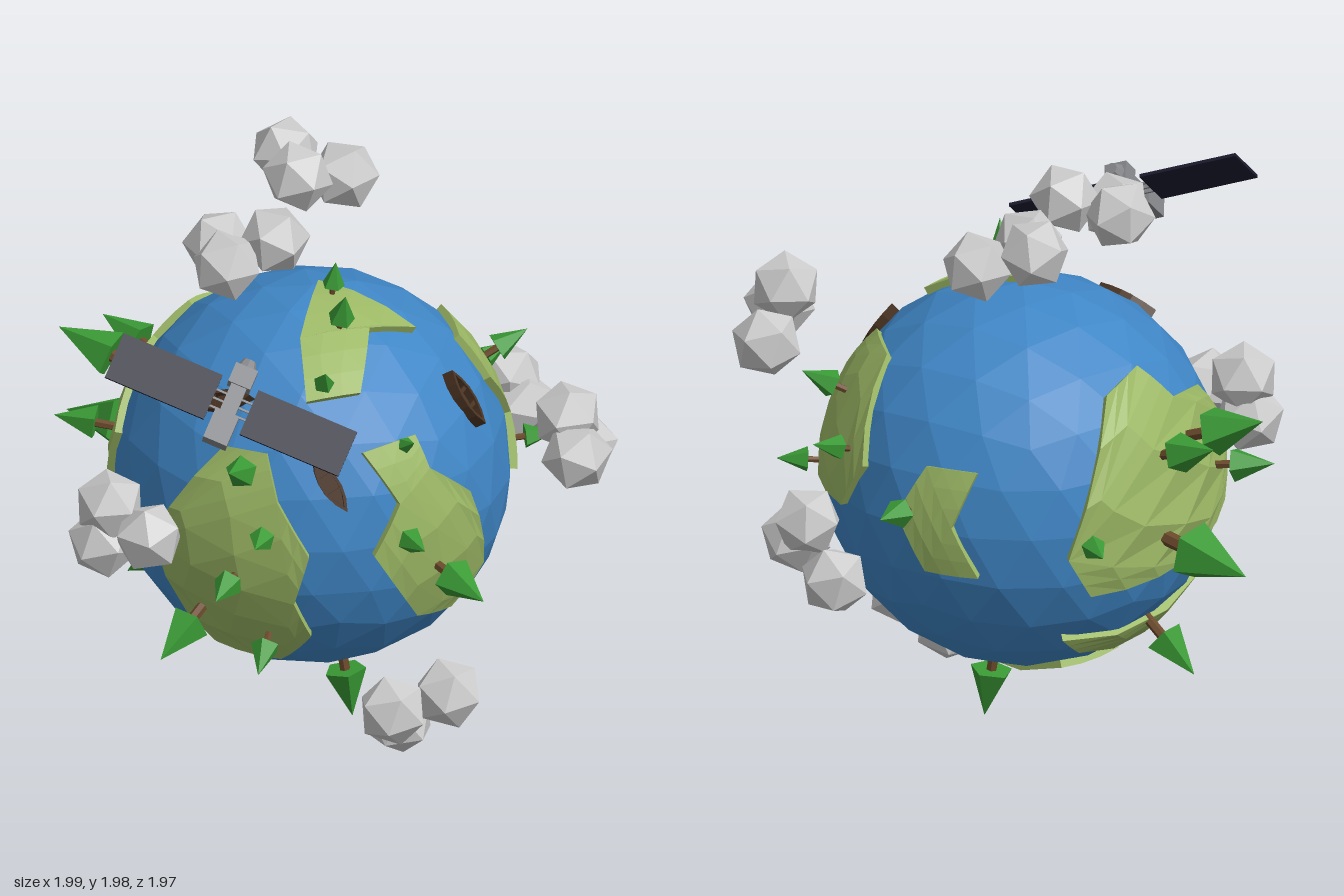
import * as THREE from 'three';

const V = (x, y, z) => new THREE.Vector3(x, y, z);
const mat = color => new THREE.MeshStandardMaterial({ color, flatShading: true });
const MAT = {
  ocean: mat(0x3f86c6), land: mat(0x9cb865), leaf: mat(0x3a9a35), trunk: mat(0x6b4a2b),
  cloud: mat(0xcccccc), boat: mat(0x4a3322), panel: mat(0x1a1a2e), body: mat(0x85878a),
};
const CENTRE = V(0, 0.93, -0.045), R = 0.67, LAND = 0.688;

function part(name, geo, material, parent) {
  const m = new THREE.Mesh(geo, material);
  m.name = name;
  parent.add(m);
  return m;
}

// Direction on the globe for plane coordinates (u, v) facing azimuth / elevation in degrees
function onGlobe(az, el, u, v) {
  const a = THREE.MathUtils.degToRad(az), e = THREE.MathUtils.degToRad(el);
  const t = Math.sqrt(Math.max(0, 0.686 ** 2 - u * u - v * v));
  const depth = t * Math.cos(e) - v * Math.sin(e);
  return V(depth * Math.sin(a) + u * Math.cos(a), v * Math.cos(e) + t * Math.sin(e),
    depth * Math.cos(a) - u * Math.sin(a));
}

// Land slab: outline wrapped over the globe with walls down into the ocean
function landGeometry(az, el, outline) {
  const flat = outline.map(([x, y]) => new THREE.Vector2(x, y));
  if (THREE.ShapeUtils.isClockWise(flat)) flat.reverse();
  const dirs = flat.map(p => onGlobe(az, el, p.x, p.y));
  const pos = [], N = 3;
  const tri = (...pts) => pts.forEach(p => pos.push(p.x, p.y, p.z));
  const lift = (p, r) => p.clone().setLength(r);
  const face = (a, b, c) => {
    const n = b.clone().sub(a).cross(c.clone().sub(a));
    if (n.dot(a) < 0) tri(a, c, b); else tri(a, b, c);
  };
  for (const [i, j, k] of THREE.ShapeUtils.triangulateShape(flat, [])) {
    const at = (p, q) => lift(dirs[i].clone().multiplyScalar((N - p - q) / N)
      .addScaledVector(dirs[j], p / N).addScaledVector(dirs[k], q / N), LAND);
    for (let p = 0; p < N; p++) for (let q = 0; q < N - p; q++) {
      face(at(p, q), at(p + 1, q), at(p, q + 1));
      if (p + q < N - 1) face(at(p + 1, q), at(p + 1, q + 1), at(p, q + 1));
    }
  }
  dirs.forEach((d, i) => {
    const e = dirs[(i + 1) % dirs.length];
    for (let s = 0; s < N; s++) {
      const a = d.clone().lerp(e, s / N), b = d.clone().lerp(e, (s + 1) / N);
      tri(lift(a, 0.645), lift(b, 0.645), lift(b, LAND));
      tri(lift(a, 0.645), lift(b, LAND), lift(a, LAND));
    }
  });
  const g = new THREE.BufferGeometry();
  g.setAttribute('position', new THREE.Float32BufferAttribute(pos, 3));
  g.computeVertexNormals();
  return g;
}

// Land masses: azimuth, elevation, outline
const LANDS = [
  [0, 0, [[-.11, .33], [.09, .35], [.12, .24], [.28, .11], [.37, -.21], [.25, -.35], [.09, -.32], [-.11, -.02], [-.01, .15]]],
  [0, 0, [[-.5, .33], [-.4, .33], [-.4, .18], [-.32, -.01], [-.35, -.2], [-.27, -.35], [-.3, -.5], [-.46, -.47], [-.67, -.05]]],
  [90, 0, [[-.215, .48], [.015, .48], [.185, .16], [.085, -.01], [-.325, -.01], [-.235, .16], [-.295, .34]]],
  [145, -25, [[-.27, .31], [-.17, .47], [.01, .48], [-.07, .32], [.02, .155], [-.17, .147]]],
  [215, 25, [[-.21, .19], [-.03, .235], [.05, .09], [.24, .08], [.39, -.08], [.31, -.33], [0, -.45], [-.37, -.43], [-.46, -.28]]],
  [215, 25, [[-.36, -.55], [.25, -.54], [.24, -.62], [-.25, -.62]]],
  [145, -25, [[-.3, -.58], [.2, -.44], [.35, -.5], [.28, -.6], [.05, -.66]]],
  [0, 90, [[.02, -.005], [.25, -.275], [.07, -.285], [-.06, -.475], [-.24, -.43], [-.17, -.245]]],
];

// Tree tips; each tree grows straight out of the globe
const TREES = [
  [.1, .01, .055], [.19, .77, .85], [0, .975, .79], [.04, 1.3, .63],
  [.03, 1.73, .07], [-.035, 1.705, .27], [-.2, 1.53, .445],
  [.74, 1.33, .09], [.79, 1.16, -.15], [.79, .98, .2], [.695, 1.02, -.54],
  [-.45, .82, -.98], [-.6, 1.27, -.74], [-.39, 1.23, -.83], [-.705, 1.04, -.57], [.02, .91, -.87], [-.39, .35, -.645],
  [-.59, 1.27, .5], [-.535, 1.01, .585], [-.64, .8, .5], [-.76, .535, .33], [-.48, .49, .5],
];

// Puff centres of each cloud
const CLOUDS = [
  [[-.33, 1.81, -.09], [-.36, 1.79, .03], [-.18, 1.845, .03]],
  [[.12, 1.88, -.48], [.09, 1.86, -.33], [.28, 1.81, -.36]],
  [[-.86, 1.06, .15], [-.88, .92, .14], [-.79, .99, .3]],
  [[.545, 1.35, .77], [.53, 1.25, .87], [.64, 1.19, .7]],
  [[.865, .95, -.3], [.88, .87, -.23], [.8, .76, -.385]],
  [[.01, .26, .53], [.21, .29, .55], [.075, .18, .45]],
];

function makeTree(tip) {
  const g = new THREE.Group();
  g.name = 'tree';
  const dir = V(...tip).sub(CENTRE), total = dir.length() - R, cone = total * 0.66;
  const r = total * 0.28;
  part('trunk', new THREE.CylinderGeometry(r * 0.25, r * 0.25, total * 0.5, 6), MAT.trunk, g).position.y = R + total * 0.18;
  part('foliage', new THREE.ConeGeometry(r, cone, 5), MAT.leaf, g).position.y = R + total - cone / 2;
  g.quaternion.setFromUnitVectors(V(0, 1, 0), dir.normalize());
  return g;
}

// Pointed canoe: hollow lens hull with a floor and two seats, length along x, up along z
function makeBoat(at, along) {
  const g = new THREE.Group();
  g.name = 'boat';
  const lens = (S, l, w) => {
    const s = new S();
    s.moveTo(-l, 0).quadraticCurveTo(0, -w * 2, l, 0).quadraticCurveTo(0, w * 2, -l, 0);
    return s;
  };
  const extrude = (s, depth) => new THREE.ExtrudeGeometry(s, { depth, bevelEnabled: false, curveSegments: 5 });
  const hull = lens(THREE.Shape, 0.108, 0.034);
  hull.holes.push(lens(THREE.Path, 0.088, 0.024));
  part('hull', extrude(hull, 0.045), MAT.boat, g).position.z = -0.015;
  part('floor', extrude(lens(THREE.Shape, 0.1, 0.03), 0.015), MAT.boat, g).position.z = -0.014;
  for (const s of [-1, 1]) part('seat', new THREE.BoxGeometry(0.014, 0.045, 0.006), MAT.boat, g).position.set(s * 0.03, 0, 0.02);
  const n = V(...at).sub(CENTRE).normalize();
  const x = V(...along).projectOnPlane(n).normalize();
  g.quaternion.setFromRotationMatrix(new THREE.Matrix4().makeBasis(x, n.clone().cross(x), n));
  g.position.copy(n).multiplyScalar(R);
  return g;
}

// Satellite: panels along x, body along y, panel normal along z
function makeSatellite() {
  const g = new THREE.Group();
  g.name = 'satellite';
  const box = (name, w, h, d, x, y, z, m = MAT.body) =>
    part(name, new THREE.BoxGeometry(w, h, d), m, g).position.set(x, y, z);
  for (const s of [-1, 1]) {
    box('solarPanel', 0.36, 0.165, 0.012, s * 0.245, 0, 0, MAT.panel);
    for (const y of [-0.03, 0, 0.03]) box('strut', 0.05, 0.007, 0.007, s * 0.05, y, 0);
  }
  box('lowerBody', 0.085, 0.11, 0.075, 0, -0.09, 0);
  box('core', 0.055, 0.16, 0.055, 0, 0.01, 0);
  box('upperBody', 0.08, 0.07, 0.075, 0, 0.1, 0);
  part('endCap', new THREE.CylinderGeometry(0.022, 0.035, 0.03, 8), MAT.body, g).position.y = 0.15;
  const x = V(0.61, -0.28, 0.5).normalize();
  const y = V(0.1, 0.12, -0.065).projectOnPlane(x).normalize();
  g.quaternion.setFromRotationMatrix(new THREE.Matrix4().makeBasis(x, y, x.clone().cross(y)));
  g.position.set(-0.64, 1.59, 0.615);
  return g;
}

export function createModel() {
  const model = new THREE.Group();
  model.name = 'planet';

  // Globe and everything standing on it
  const globe = new THREE.Group();
  globe.name = 'globe';
  globe.position.copy(CENTRE);
  model.add(globe);
  const ball = new THREE.IcosahedronGeometry(R, 3);
  ball.rotateZ(-Math.atan(2 / (1 + Math.sqrt(5))));
  part('ocean', ball, MAT.ocean, globe);
  for (const [az, el, outline] of LANDS) part('land', landGeometry(az, el, outline), MAT.land, globe);
  for (const tip of TREES) globe.add(makeTree(tip));
  globe.add(makeBoat([-.235, 1.17, .55], [.09, -.19, .08]));
  globe.add(makeBoat([.34, 1.3, .41], [.09, -.2, .09]));
  globe.add(makeBoat([-.45, 1.37, .19], [.18, 0, .1]));

  // Clouds of three faceted puffs
  CLOUDS.forEach((puffs, c) => {
    const cloud = new THREE.Group();
    cloud.name = 'cloud';
    puffs.forEach((p, i) => {
      const puff = part('puff', new THREE.IcosahedronGeometry(0.122, 0), MAT.cloud, cloud);
      puff.position.set(...p);
      puff.rotation.set(c + i * 0.7, c * 0.6 + i, i * 0.4);
    });
    model.add(cloud);
  });

  model.add(makeSatellite());
  return model;
}
